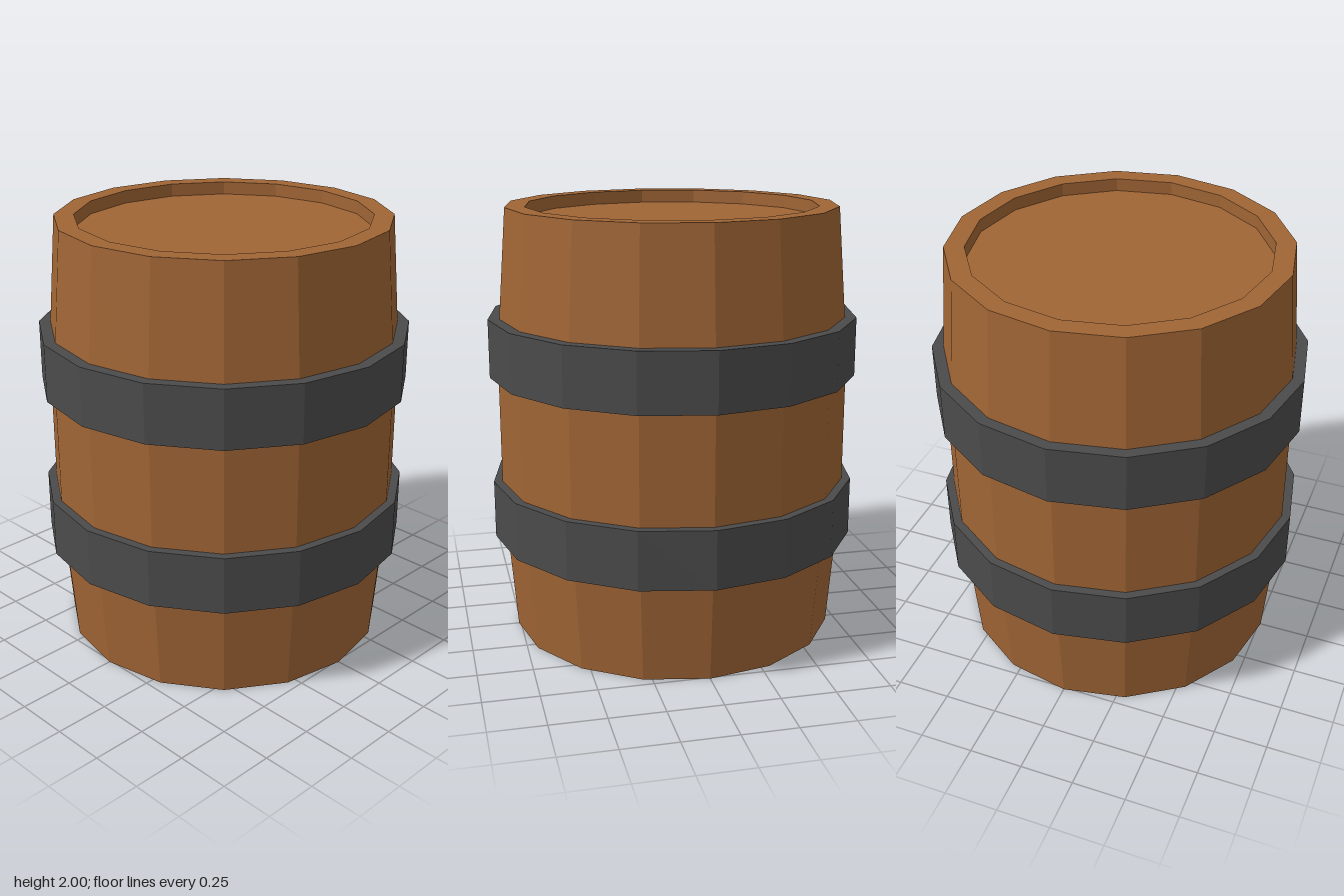
import * as THREE from 'three';

const SIDES = 16;

// Faceted solid of revolution from [radius, height] pairs, listed bottom to top on the outside
function turned(name, profile, material) {
  const points = profile.map(([r, y]) => new THREE.Vector2(r, y));
  const mesh = new THREE.Mesh(new THREE.LatheGeometry(points, SIDES), material);
  mesh.name = name;
  return mesh;
}

export function createModel() {
  const wood = new THREE.MeshStandardMaterial({ color: 0xa06535, flatShading: true });
  const iron = new THREE.MeshStandardMaterial({ color: 0x4b4b4b, flatShading: true });
  const barrel = new THREE.Group();
  barrel.name = 'barrel';

  // Bulging staves with a raised rim at both ends
  const lidRadius = 0.67, recess = 0.06;
  barrel.add(turned('staves', [
    [lidRadius, recess], [lidRadius, 0], [0.76, 0], [0.813, 0.66],
    [0.813, 1.34], [0.76, 2], [lidRadius, 2], [lidRadius, 2 - recess],
  ], wood));

  // Recessed end discs
  barrel.add(turned('bottomLid', [[0, recess], [lidRadius, recess]], wood));
  barrel.add(turned('topLid', [[lidRadius, 2 - recess], [0, 2 - recess]], wood));

  // Two hoops around the staves
  const inner = 0.78, outer = 0.853, height = 0.27;
  for (const [name, y] of [['lowerHoop', 0.46], ['upperHoop', 1.23]]) {
    barrel.add(turned(name, [
      [inner, y], [outer, y], [outer, y + height], [inner, y + height], [inner, y],
    ], iron));
  }
  return barrel;
}
